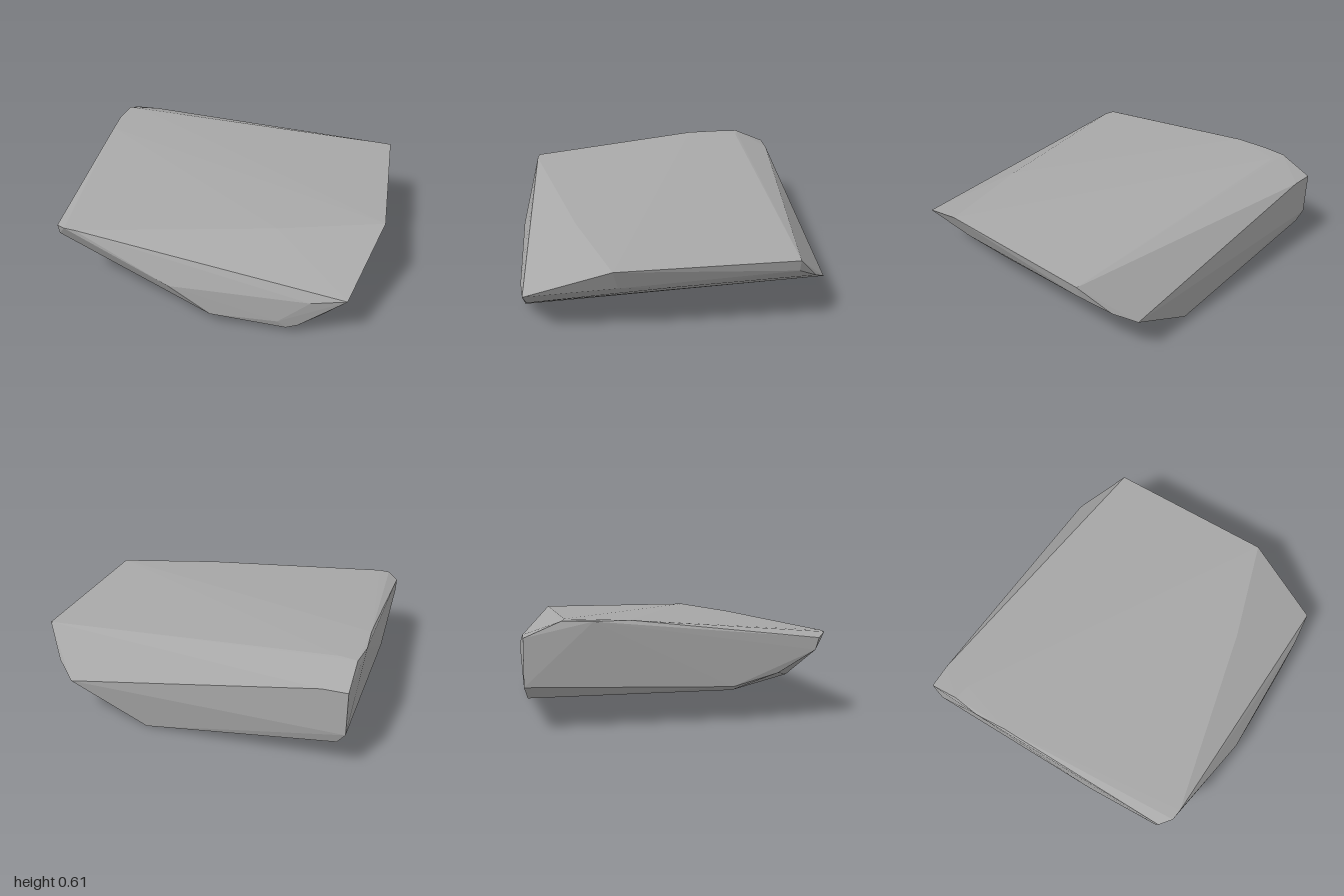
import * as THREE from 'three';
import { ConvexGeometry } from 'three/addons/geometries/ConvexGeometry.js';

// Corner points of the faceted slab, grouped by region
const topCorners = [
  [-0.98, 0.61, -0.72], [-0.88, 0.61, -0.7], [-1, 0.605, -0.55], [-0.985, 0.607, -0.35],
  [0.99, 0.505, -0.7], [1, 0.505, 0.38], [0.36, 0.508, 0.57],
  [-0.83, 0.505, 0.83], [-0.9, 0.505, 0.82], [-0.97, 0.48, 0.76],
];
const backCorners = [
  [-0.98, 0.52, -0.93], [-0.83, 0.52, -0.93], [0.74, 0.25, -0.93],
  [0.86, 0.33, -0.84], [-0.98, 0.25, -0.93], [-0.93, 0.18, -0.91],
];
const frontCorners = [
  [0.83, 0.28, 0.9], [-0.23, 0.25, 0.925], [0.62, 0.25, 0.92],
  [0.02, 0.08, 0.925], [0.43, 0.09, 0.925],
];
const rightEdge = [
  [0.97, 0.43, -0.7], [0.93, 0.36, 0.35], [0.895, 0.325, 0],
  [0.68, 0.15, 0.89], [0.55, 0.065, 0.905],
];
const bottomCorners = [
  [0.26, 0, -0.89], [0.48, 0.04, 0.91], [0.1, 0.065, 0.91],
  [-0.94, 0.185, 0.25], [-0.97, 0.21, 0.25], [-0.96, 0.28, 0.52], [-0.97, 0.41, 0.74],
];

export function createModel() {
  const group = new THREE.Group();
  group.name = 'rock';

  const stone = new THREE.MeshStandardMaterial({ color: 0xa8a8a8, flatShading: true });
  stone.name = 'grey stone';

  // One convex boulder with flat facets
  const points = [topCorners, backCorners, frontCorners, rightEdge, bottomCorners]
    .flat()
    .map((p) => new THREE.Vector3(...p));
  const slab = new THREE.Mesh(new ConvexGeometry(points), stone);
  slab.name = 'rockSlab';
  group.add(slab);

  return group;
}
